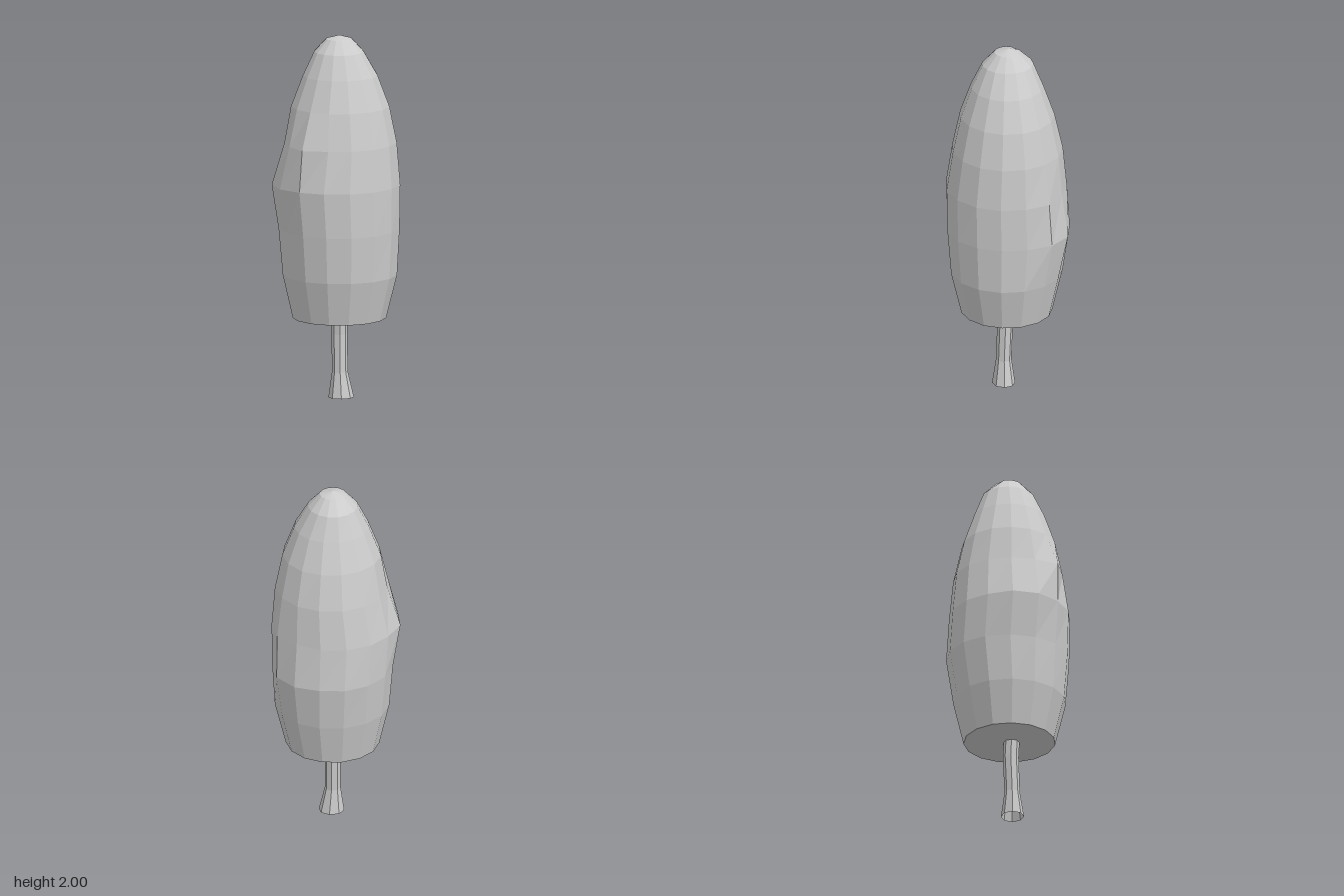
import * as THREE from 'three';

// Faceted skin over rings of points (bottom to top), with optional end points.
function skin(rings, bottom, top) {
  const pos = [];
  const tri = (...pts) => pts.forEach((p) => pos.push(...p));
  const n = rings[0].length;
  for (let k = 0; k < n; k++) {
    const m = (k + 1) % n;
    for (let i = 0; i < rings.length - 1; i++) {
      const lo = rings[i], hi = rings[i + 1];
      tri(lo[k], hi[k], lo[m]);
      tri(lo[m], hi[k], hi[m]);
    }
    if (bottom) tri(bottom, rings[0][k], rings[0][m]);
    if (top) tri(top, rings[rings.length - 1][m], rings[rings.length - 1][k]);
  }
  const g = new THREE.BufferGeometry();
  g.setAttribute('position', new THREE.Float32BufferAttribute(pos, 3));
  g.computeVertexNormals();
  return g;
}

// Ring with its own reach to each side; angles run from +x towards +z.
function ring(y, left, right, back, front, sides, start, nudge = {}) {
  const cx = (left + right) / 2, cz = (back + front) / 2;
  return Array.from({ length: sides }, (_, k) => {
    const a = start + (k * Math.PI * 2) / sides;
    const s = nudge[k] ?? 1;
    return [
      cx + (s * Math.cos(a) * (right - left)) / 2,
      y,
      cz + (s * Math.sin(a) * (front - back)) / 2,
    ];
  });
}

export function createModel() {
  const tree = new THREE.Group();
  tree.name = 'tree';
  const material = new THREE.MeshStandardMaterial({
    color: 0xcccccc, flatShading: true, side: THREE.DoubleSide,
  });
  const add = (name, geometry) => {
    const mesh = new THREE.Mesh(geometry, material);
    mesh.name = name;
    tree.add(mesh);
  };

  // Foliage: y, left, right, back, front, and bumps or dents by corner
  const foliage = [
    [0.44, -0.24, 0.27, -0.24, 0.26],
    [0.68, -0.295, 0.33, -0.295, 0.318],
    [0.935, -0.315, 0.345, -0.335, 0.338, { 13: 1.06, 14: 1.06 }],
    [1.18, -0.335, 0.348, -0.32, 0.34, { 6: 1.02, 7: 1.06, 8: 1.06, 14: 1.04 }],
    [1.41, -0.285, 0.33, -0.295, 0.31, { 6: 1.14, 7: 1.04 }],
    [1.61, -0.25, 0.29, -0.25, 0.265],
    [1.78, -0.185, 0.225, -0.19, 0.205],
    [1.91, -0.122, 0.15, -0.138, 0.142],
    [1.98, -0.058, 0.085, -0.065, 0.075, { 10: 0.85 }],
  ].map(([y, l, r, b, f, nudge]) => ring(y, l, r, b, f, 15, -0.06, nudge));
  add('foliage', skin(foliage, [0.015, 0.44, 0.01], [0.015, 2, 0]));

  // Trunk: slightly bent, flared at the open foot
  const trunk = [
    [0, -0.05, 0.09, -0.035, 0.09],
    [0.14, -0.03, 0.057, -0.017, 0.067],
    [0.35, -0.03, 0.057, -0.026, 0.06],
    [0.45, -0.03, 0.057, -0.021, 0.065],
  ].map((r) => ring(...r, 8, 0.2));
  add('trunk', skin(trunk));

  return tree;
}
